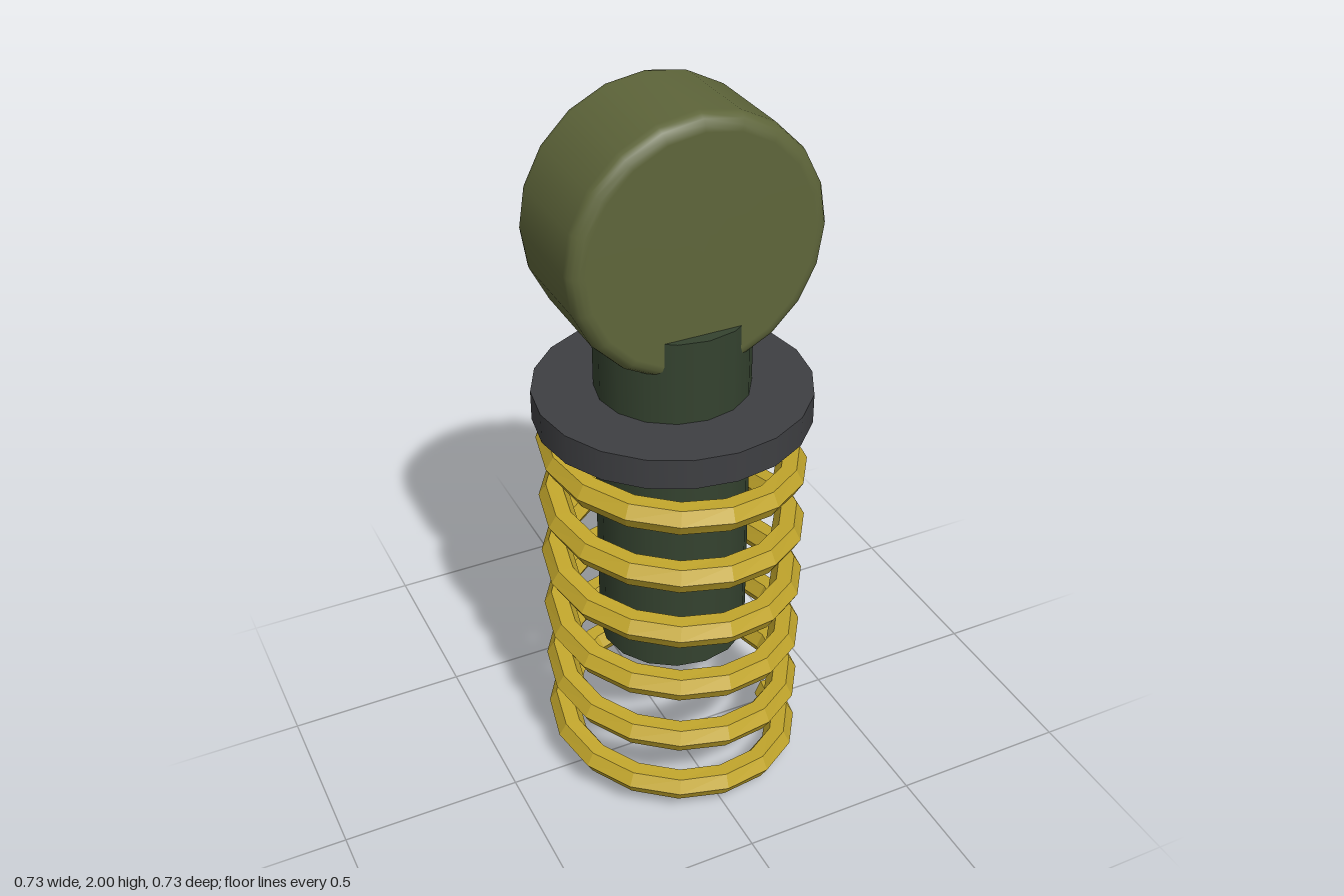
import * as THREE from 'three';

function addPart(group, name, geometry, color, flatShading = false) {
  const material = new THREE.MeshStandardMaterial({ color, flatShading });
  const mesh = new THREE.Mesh(geometry, material);
  mesh.name = name;
  group.add(mesh);
  return mesh;
}

// Helical wire with a polygonal section, one corner facing outward, capped ends
function coilGeometry({ radius, wire, y0, y1, turns, steps, sides }) {
  const positions = [];
  const index = [];
  const slope = Math.atan((y1 - y0) / (turns * 2 * Math.PI * radius));
  for (let i = 0; i <= steps; i++) {
    const t = (i / steps) * turns * 2 * Math.PI;
    const radial = new THREE.Vector3(Math.cos(t), 0, Math.sin(t));
    const up = new THREE.Vector3(Math.sin(t) * Math.sin(slope), Math.cos(slope), -Math.cos(t) * Math.sin(slope));
    const centre = radial.clone().multiplyScalar(radius);
    centre.y = y0 + (y1 - y0) * (i / steps);
    for (let j = 0; j < sides; j++) {
      const a = (j / sides) * 2 * Math.PI;
      const p = centre.clone()
        .addScaledVector(radial, wire * Math.cos(a))
        .addScaledVector(up, wire * Math.sin(a));
      positions.push(p.x, p.y, p.z);
    }
  }
  for (let i = 0; i < steps; i++) {
    for (let j = 0; j < sides; j++) {
      const k = (j + 1) % sides;
      const a = i * sides + j, b = i * sides + k;
      index.push(a, b, a + sides, b, b + sides, a + sides);
    }
  }
  const last = steps * sides;
  for (let j = 1; j < sides - 1; j++) {
    index.push(0, j + 1, j, last, last + j, last + j + 1);
  }
  const geometry = new THREE.BufferGeometry();
  geometry.setAttribute('position', new THREE.Float32BufferAttribute(positions, 3));
  geometry.setIndex(index);
  geometry.computeVertexNormals();
  return geometry;
}

// Round block with softened rims, axis along z
function eyeGeometry(radius, halfDepth, bevel) {
  const profile = [new THREE.Vector2(0, -halfDepth)];
  for (const side of [-1, 1]) {
    for (let i = 0; i <= 4; i++) {
      const a = ((side < 0 ? i - 4 : i) / 4) * Math.PI / 2;
      profile.push(new THREE.Vector2(
        radius - bevel + bevel * Math.cos(a),
        side * (halfDepth - bevel) + bevel * Math.sin(a)
      ));
    }
  }
  profile.push(new THREE.Vector2(0, halfDepth));
  return new THREE.LatheGeometry(profile, 20).rotateX(Math.PI / 2);
}

export function createModel() {
  const group = new THREE.Group();
  group.name = 'shockAbsorber';

  // Top mounting eye
  addPart(group, 'mountingEye', eyeGeometry(0.342, 0.171, 0.04), 0x5e653a).position.y = 1.658;

  // Damper body running down inside the spring
  addPart(group, 'damperBody', new THREE.CylinderGeometry(0.204, 0.204, 1.01, 16), 0x34422f).position.y = 0.935;

  // Spring seat
  addPart(group, 'springSeat', new THREE.CylinderGeometry(0.365, 0.365, 0.083, 20), 0x3e3f42).position.y = 1.173;

  // Coil spring
  addPart(group, 'coilSpring', coilGeometry({
    radius: 0.317, wire: 0.041, y0: 0.037, y1: 1.137, turns: 6, steps: 96, sides: 6
  }), 0xc2a62c, true);

  return group;
}
